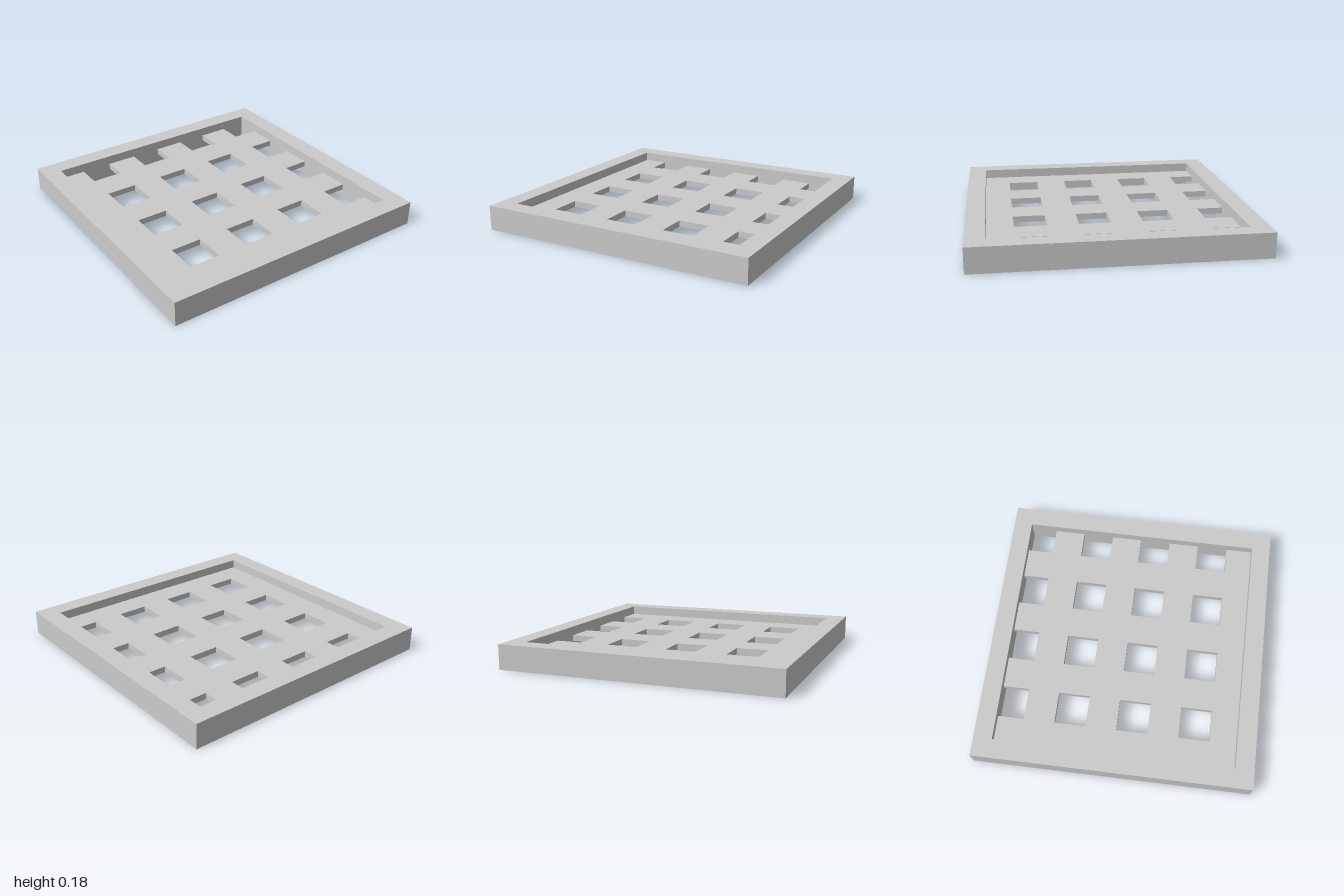
import * as THREE from 'three';

const HEIGHT = 0.178;
const INNER = 0.865;           // half width inside the rim
const HOLE = 0.227;            // side of a square hole
const PANEL_Y = 0.0667, PANEL_T = 0.0444;
const xStarts = [-0.677, -0.227, 0.223, 0.672];   // left edges; the last column runs into the rim
const vStarts = [-0.674, -0.225, 0.225, 0.675];   // front edges (v = -z); the last row runs into the rim

function rectPath(path, x0, y0, x1, y1) {
  path.moveTo(x0, y0);
  path.lineTo(x1, y0);
  path.lineTo(x1, y1);
  path.lineTo(x0, y1);
  path.closePath();
  return path;
}

// Extrude a plan shape upwards from a given height
function slab(name, shape, y, depth, material) {
  const geometry = new THREE.ExtrudeGeometry(shape, { depth, bevelEnabled: false });
  geometry.rotateX(-Math.PI / 2);
  geometry.translate(0, y, 0);
  const mesh = new THREE.Mesh(geometry, material);
  mesh.name = name;
  return mesh;
}

export function createModel() {
  const group = new THREE.Group();
  group.name = 'gridTray';
  const material = new THREE.MeshStandardMaterial({ color: 0xcccccc });

  // Square rim
  const rim = rectPath(new THREE.Shape(), -1, -1, 1, 1);
  rim.holes.push(rectPath(new THREE.Path(), -INNER, -INNER, INNER, INNER));
  group.add(slab('rim', rim, 0, HEIGHT, material));

  // Panel outline, notched where the last column and row meet the rim
  const edgeX = xStarts[3], edgeV = vStarts[3];
  const outline = [[-INNER, -INNER], [INNER, -INNER]];
  for (const v of vStarts.slice(0, 3)) {
    outline.push([INNER, v], [edgeX, v], [edgeX, v + HOLE], [INNER, v + HOLE]);
  }
  outline.push([INNER, edgeV], [edgeX, edgeV], [edgeX, INNER]);
  for (const x of xStarts.slice(0, 3).reverse()) {
    outline.push([x + HOLE, INNER], [x + HOLE, edgeV], [x, edgeV], [x, INNER]);
  }
  outline.push([-INNER, INNER]);
  const panel = new THREE.Shape(outline.map(([x, v]) => new THREE.Vector2(x, v)));

  // Full square holes
  for (const x of xStarts.slice(0, 3)) {
    for (const v of vStarts.slice(0, 3)) {
      panel.holes.push(rectPath(new THREE.Path(), x, v, x + HOLE, v + HOLE));
    }
  }
  group.add(slab('gridPanel', panel, PANEL_Y, PANEL_T, material));

  return group;
}
